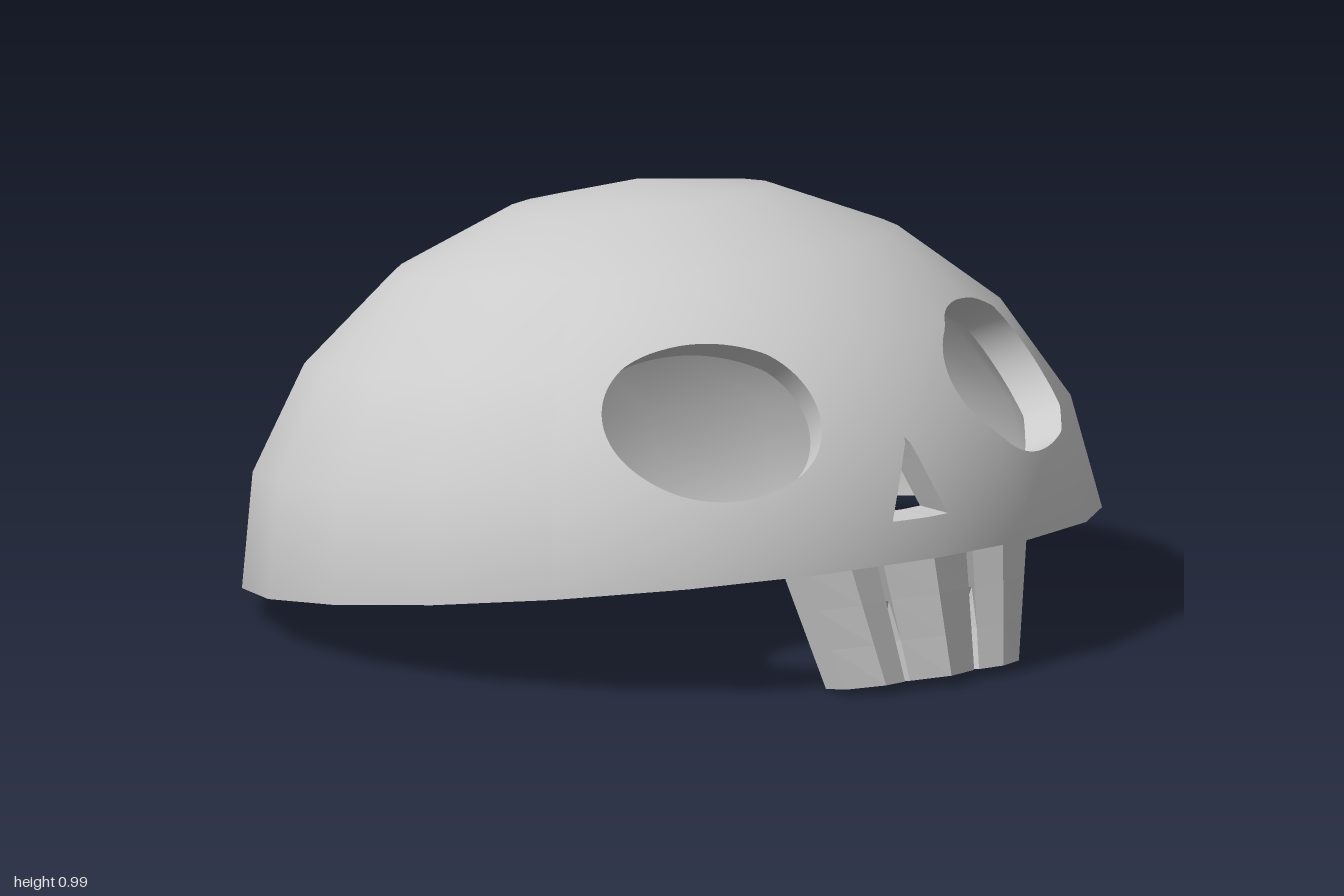
import * as THREE from 'three';

const A = 0.98, B = 0.845, INNER = 0.9;         // dome radii, inner shell scale
const TILT = THREE.MathUtils.degToRad(8.35), CY = 0.15, CZ = -0.02;
const STEP = 18, SIDE = 30;                      // facet size in degrees, points per patch side
const rad = THREE.MathUtils.degToRad, deg = THREE.MathUtils.radToDeg;
const mix = THREE.MathUtils.lerp;

function ellipsoid(lon, lat, k) {
  const c = Math.cos(rad(lat)) * A * k;
  return new THREE.Vector3(Math.sin(rad(lon)) * c, Math.sin(rad(lat)) * B * k, Math.cos(rad(lon)) * c);
}

// point on the faceted dome, interpolated inside each 18 degree facet
function facetPoint(lon, lat, k) {
  const i = Math.floor(lon / STEP + 1e-6) * STEP;
  const j = Math.min(Math.floor(lat / STEP + 1e-6), 4) * STEP;
  const u = (lon - i) / STEP, v = (lat - j) / STEP;
  const low = ellipsoid(i, j, k).lerp(ellipsoid(i + STEP, j, k), u);
  const high = ellipsoid(i, j + STEP, k).lerp(ellipsoid(i + STEP, j + STEP, k), u);
  return low.lerp(high, v);
}

// longitude and latitude of the front surface at a given x, y
function frontToAngles(x, y, k) {
  const s = Math.sin(TILT), c = Math.cos(TILT), h = y - CY, a = 1 / A ** 2, b = 1 / B ** 2;
  const p = c * c * a + s * s * b, q = h * s * c * (a - b);
  const r = h * h * (s * s * a + c * c * b) + x * x * a - k * k;
  const w = (-q + Math.sqrt(q * q - p * r)) / p;
  return [deg(Math.atan2(x, h * s + w * c)), deg(Math.asin((h * c - w * s) / (B * k)))];
}

// grid of f(u, v) -> [lon, lat, scale]; facing 1 outward, -1 inward, 0 computed normals
function sheet(name, f, nu, nv, facing, flat = false) {
  const pos = [], nor = [], idx = [];
  for (let j = 0; j <= nv; j++) for (let i = 0; i <= nu; i++) {
    const p = facetPoint(...f(i / nu, j / nv));
    pos.push(p.x, p.y, p.z);
    const n = new THREE.Vector3(p.x / A ** 2, p.y / B ** 2, p.z / A ** 2).normalize();
    nor.push(n.x * facing, n.y * facing, n.z * facing);
    if (i < nu && j < nv) {
      const a = j * (nu + 1) + i, b = a + 1, d = a + nu + 1, e = d + 1;
      if (facing < 0) idx.push(a, e, b, a, d, e);
      else idx.push(a, b, e, a, e, d);
    }
  }
  const geo = new THREE.BufferGeometry();
  geo.setAttribute('position', new THREE.Float32BufferAttribute(pos, 3));
  geo.setAttribute('normal', new THREE.Float32BufferAttribute(nor, 3));
  geo.setIndex(idx);
  if (!facing) geo.computeVertexNormals();
  const mesh = new THREE.Mesh(geo, new THREE.MeshStandardMaterial({ color: 0xcccccc, flatShading: flat }));
  mesh.name = name;
  return mesh;
}

// clockwise border of a rectangle, starting at the middle of its top side
function border(t, x0, x1, y0, y1) {
  const s = (t * 4 + 0.5) % 4, side = Math.floor(s + 1e-9), f = s - side;
  return [[mix(x0, x1, f), y1], [x1, mix(y1, y0, f)], [mix(x1, x0, f), y0], [x0, mix(y0, y1, f)]][side];
}

// dome patch with an opening: both skins and the wall between them
function openPatch(name, lon0, lon1, outline, shift, flat) {
  const group = new THREE.Group();
  group.name = name;
  const hole = (t, k) => {
    const [x, y] = outline(t), d = (1 - k) / (1 - INNER);
    return frontToAngles(x - shift[0] * d, y - shift[1] * d, k);
  };
  const skin = k => (u, v) => {
    const [a, b] = hole(u, k), [c, d] = border(u, lon0, lon1, 0, 54);
    return [mix(a, c, v), mix(b, d, v), k];
  };
  group.add(
    sheet(name + 'OuterSkin', skin(1), SIDE * 4, 8, 1),
    sheet(name + 'InnerSkin', skin(INNER), SIDE * 4, 8, -1),
    sheet(name + 'Wall', (u, v) => {
      const k = v ? 1 : INNER;
      return [...hole(u, k), k];
    }, SIDE * 4, 1, 0, flat)
  );
  return group;
}

// three tapered teeth in one block, parted by slits
function makeTeeth() {
  const half = [[0, 0.99], [0.093, 0.955], [0.1, 0.9], [0.107, 0.955], [0.17, 0.965], [0.25, 0.92],
    [0.25, 0.845], [0.17, 0.815], [0.107, 0.85], [0.1, 0.875], [0.093, 0.85], [0, 0.82]];
  const mirrored = half.slice(1, -1).reverse().map(([x, z]) => [-x, z]);
  const shape = new THREE.Shape([...half, ...mirrored].map(([x, z]) => new THREE.Vector2(x, -z)));
  const depth = 0.28;
  const geo = new THREE.ExtrudeGeometry(shape, { depth, steps: 3, bevelEnabled: false });
  geo.rotateX(-Math.PI / 2);
  const p = geo.attributes.position;
  for (let i = 0; i < p.count; i++) {
    const t = p.getY(i) / depth;
    let z = p.getZ(i);
    if (t > 0.6 && Math.abs(z - 0.9) < 0.002) z = 0.955;      // slits end below the rim
    if (t > 0.6 && Math.abs(z - 0.875) < 0.002) z = 0.85;
    p.setXYZ(i, p.getX(i) * (1 + 0.3 * t), p.getY(i) - 0.27, z - 0.025 * t);
  }
  geo.computeVertexNormals();
  const mesh = new THREE.Mesh(geo, new THREE.MeshStandardMaterial({ color: 0xcccccc, flatShading: true }));
  mesh.name = 'teeth';
  return mesh;
}

export function createModel() {
  const model = new THREE.Group();
  model.name = 'skullMask';
  const mask = new THREE.Group();
  mask.name = 'mask';
  mask.position.set(0, CY, CZ);
  mask.rotation.x = -TILT;
  model.add(mask);

  // closed parts of the dome
  for (const [k, facing, skin] of [[1, 1, 'Outer'], [INNER, -1, 'Inner']]) {
    mask.add(
      sheet('crown' + skin, (u, v) => [u * 360, 54 + v * 36, k], 20, 2, facing),
      sheet('back' + skin, (u, v) => [54 + u * 252, v * 54, k], 14, 3, facing)
    );
  }
  mask.add(sheet('rim', (u, v) => [u * 360, 0, mix(INNER, 1, v)], 20, 1, 0, true));

  // eye sockets
  for (const m of [1, -1]) {
    const outline = t => {
      const a = t * Math.PI * 2;
      return [m * 0.42 + 0.22 * Math.sin(a - m * 0.23), 0.615 + 0.16 * Math.cos(a)];
    };
    mask.add(openPatch(m > 0 ? 'leftEye' : 'rightEye', m > 0 ? 9 : -54, m > 0 ? 54 : -9,
      outline, [m * 0.03, 0.045], false));
  }

  // triangular nose opening
  const nose = [[-0.018, 0.56], [0.062, 0.385], [-0.098, 0.385]];
  mask.add(openPatch('nose', -9, 9, t => {
    const s = (t * 3) % 3, i = Math.floor(s + 1e-9), f = s - i, a = nose[i], b = nose[(i + 1) % 3];
    return [mix(a[0], b[0], f), mix(a[1], b[1], f)];
  }, [0, 0], true));

  mask.add(makeTeeth());
  return model;
}
